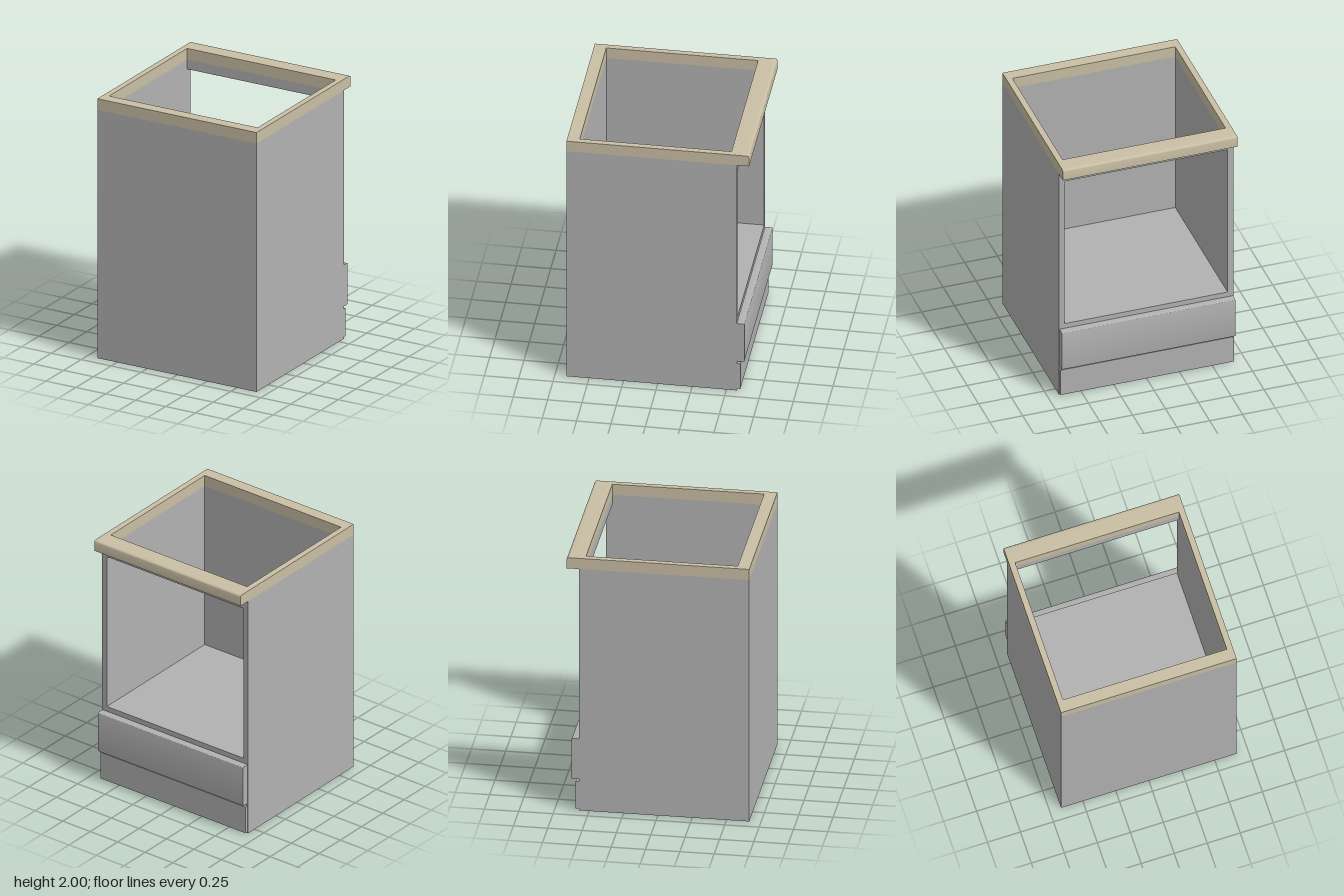
import * as THREE from 'three';
import { toCreasedNormals } from 'three/addons/utils/BufferGeometryUtils.js';

export function createModel() {
  const cabinet = new THREE.Group();
  cabinet.name = 'cabinet';
  const grey = new THREE.MeshStandardMaterial({ color: 0xb2b2b2 });
  grey.name = 'greyPanel';
  const tan = new THREE.MeshStandardMaterial({ color: 0xcabfa5 });
  tan.name = 'tanWorktop';

  const W = 0.665, IN = 0.62;                 // outer and inner half width
  const FRONT = 0.665, FRONT_IN = 0.575;      // front panel faces
  const BACK = -0.575, BACK_IN = -0.53;       // open side and inner rail face
  const FLOOR = 0.605, RAIL = 1.84, TOP = 1.915;

  const add = (name, geometry, material) => {
    const mesh = new THREE.Mesh(geometry, material);
    mesh.name = name;
    cabinet.add(mesh);
  };

  // Box given by its limits on each axis
  const box = (name, [x0, x1], [y0, y1], [z0, z1], material) => {
    const g = new THREE.BoxGeometry(x1 - x0, y1 - y0, z1 - z0);
    g.translate((x0 + x1) / 2, (y0 + y1) / 2, (z0 + z1) / 2);
    add(name, g, material);
  };

  // Bar along x, its outer (-z) edges rounded at the bottom and top
  const bar = (name, half, [y0, y1], [z0, z1], rBottom, rTop, material) => {
    const s = new THREE.Shape();
    s.moveTo(z1, y0);
    s.lineTo(z1, y1);
    s.lineTo(z0 + rTop, y1);
    if (rTop) s.quadraticCurveTo(z0, y1, z0, y1 - rTop);
    s.lineTo(z0, y0 + rBottom);
    if (rBottom) s.quadraticCurveTo(z0, y0, z0 + rBottom, y0);
    s.closePath();
    const g = new THREE.ExtrudeGeometry(s, { depth: 2 * half, bevelEnabled: false, curveSegments: 6 });
    g.rotateY(-Math.PI / 2);
    g.translate(half, 0, 0);
    add(name, toCreasedNormals(g, 0.6), material);
  };

  // Carcass: base block, walls and the rail over the opening
  box('base', [-W, W], [0, FLOOR], [BACK, FRONT], grey);
  box('frontPanel', [-W, W], [FLOOR, TOP], [FRONT_IN, FRONT], grey);
  box('leftPanel', [IN, W], [FLOOR, TOP], [BACK, FRONT_IN], grey);
  box('rightPanel', [-W, -IN], [FLOOR, TOP], [BACK, FRONT_IN], grey);
  box('topRail', [-IN, IN], [RAIL, TOP], [BACK, BACK_IN], grey);

  // Drawer front and plinth on the open side
  bar('drawerFront', 0.66, [0.245, 0.565], [-0.63, BACK], 0.01, 0.01, grey);
  box('plinth', [-0.66, 0.66], [0.01, 0.225], [-0.6, BACK], grey);

  // Worktop frame with a rounded overhanging edge
  box('worktopFront', [-W, W], [TOP, 2], [FRONT_IN, FRONT], tan);
  box('worktopLeft', [IN, W], [TOP, 2], [BACK_IN, FRONT_IN], tan);
  box('worktopRight', [-W, -IN], [TOP, 2], [BACK_IN, FRONT_IN], tan);
  bar('worktopOverhang', W, [TOP, 2], [-0.665, BACK_IN], 0, 0.02, tan);

  return cabinet;
}
